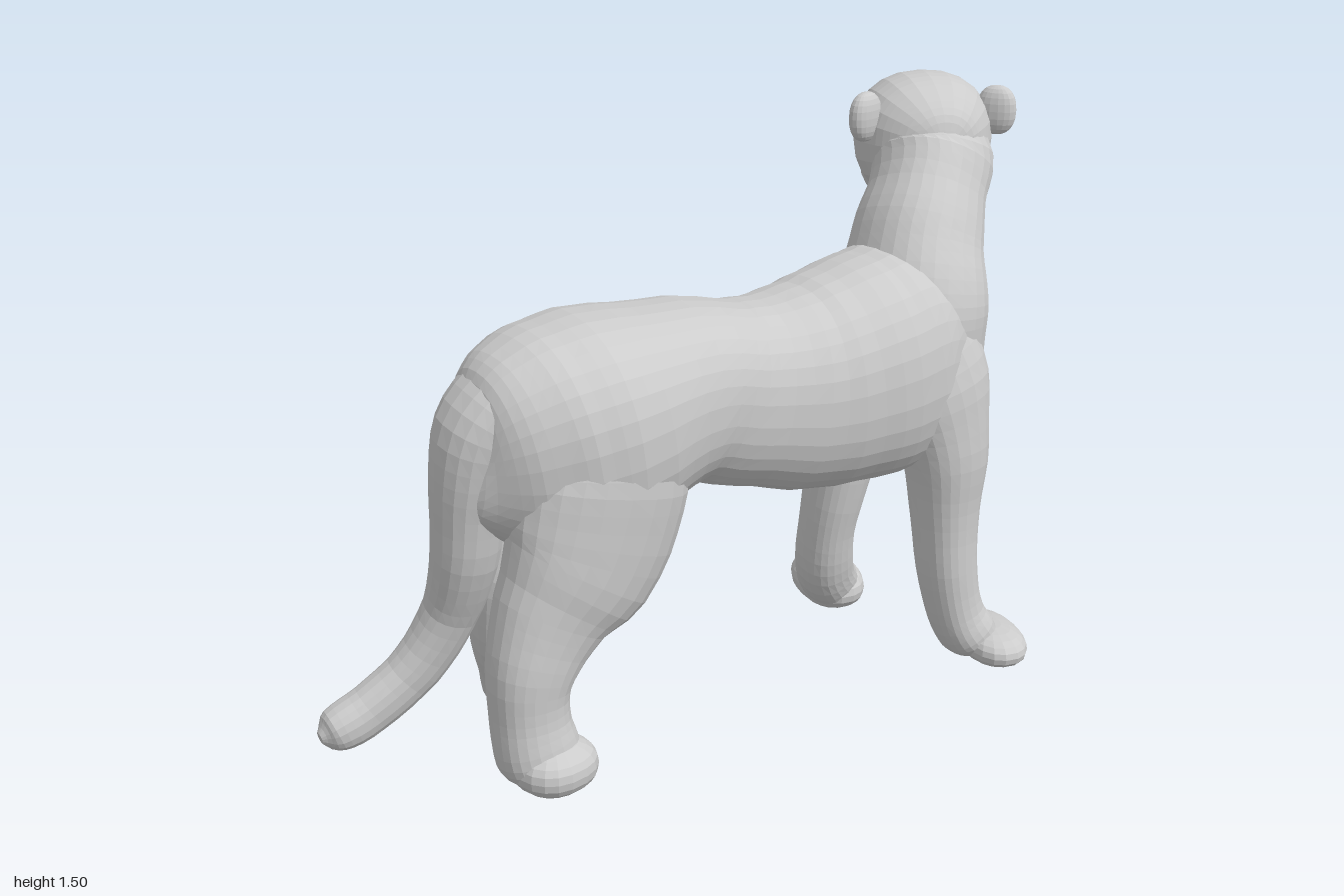
import * as THREE from 'three';

const material = new THREE.MeshStandardMaterial({ color: 0xcccccc, flatShading: true });

// Gentle hand-modelled unevenness, smooth in space
const ripple = (p) => 1 + 0.02 * Math.sin(17 * p.x + 9 * p.y) * Math.sin(15 * p.y - 13 * p.z + 1)
  + 0.014 * Math.sin(37 * p.z + 29 * p.x + 2) * Math.sin(33 * p.y + 21 * p.x);

// Makes round sections a little fuller at the corners
const swell = (v) => Math.sign(v) * Math.abs(v) ** 0.88;

// Skin over oval sections [x, y, z, radius across the bend, radius along side]
function loft(name, rows, side = new THREE.Vector3(0, 0, 1), sides = 24, steps = 4) {
  const path = new THREE.CatmullRomCurve3(rows.map((r) => new THREE.Vector3(r[0], r[1], r[2])), false, 'catmullrom');
  const radii = new THREE.CatmullRomCurve3(rows.map((r) => new THREE.Vector3(r[3], r[4], 0)), false, 'catmullrom');
  const count = (rows.length - 1) * steps;
  const pos = [], index = [];
  for (let i = 0; i <= count; i++) {
    const c = path.getPoint(i / count), r = radii.getPoint(i / count), t = path.getTangent(i / count);
    const s = side.clone().addScaledVector(t, -side.dot(t)).normalize();
    const n = s.clone().cross(t);
    for (let j = 0; j < sides; j++) {
      const a = (j / sides) * Math.PI * 2;
      const d = n.clone().multiplyScalar(swell(Math.cos(a)) * Math.max(r.x, 0.004))
        .addScaledVector(s, swell(Math.sin(a)) * Math.max(r.y, 0.004));
      const p = c.clone().add(d);
      p.copy(c).addScaledVector(d, ripple(p));
      pos.push(p.x, p.y, p.z);
    }
  }
  const first = pos.length / 3, last = first + 1, end = count * sides;
  pos.push(...rows[0].slice(0, 3), ...rows[rows.length - 1].slice(0, 3));
  for (let j = 0; j < sides; j++) {
    const k = (j + 1) % sides;
    for (let i = 0; i < count; i++) {
      const a = i * sides + j, b = i * sides + k, c = a + sides, d = b + sides;
      index.push(a, b, c, b, d, c);
    }
    index.push(first, k, j, last, end + j, end + k);
  }
  const g = new THREE.BufferGeometry();
  g.setAttribute('position', new THREE.Float32BufferAttribute(pos, 3));
  g.setIndex(index);
  g.computeVertexNormals();
  const mesh = new THREE.Mesh(g, material);
  mesh.name = name;
  return mesh;
}

// Slightly boxy rounded lump; flatBelow trims its underside to a flat sole
function lump(name, position, radii, turn = 0, flatBelow = -1) {
  const g = new THREE.SphereGeometry(1, 18, 12);
  const p = g.attributes.position;
  for (let i = 0; i < p.count; i++) {
    p.setXYZ(i, swell(p.getX(i)), Math.max(swell(p.getY(i)), flatBelow), swell(p.getZ(i)));
  }
  g.scale(...radii);
  g.computeVertexNormals();
  const mesh = new THREE.Mesh(g, material);
  mesh.name = name;
  mesh.position.set(...position);
  mesh.rotation.y = turn;
  return mesh;
}

function makeHead() {
  const head = new THREE.Group();
  head.name = 'head';
  head.position.set(0.78, 1.32, -0.13);
  head.rotation.y = 2.8; // looks back over its shoulder
  const across = new THREE.Vector3(1, 0, 0);
  head.add(loft('skull', [
    [0, 0.02, -0.165, 0.03, 0.03],
    [0, 0.02, -0.135, 0.1, 0.1],
    [0, 0.015, -0.07, 0.148, 0.155],
    [0, 0.01, 0.02, 0.168, 0.178],
    [0, 0.0, 0.09, 0.158, 0.165],
    [0, -0.015, 0.15, 0.132, 0.135],
    [0, -0.03, 0.195, 0.1, 0.1],
    [0, -0.04, 0.22, 0.05, 0.05],
  ], across));
  head.add(loft('muzzle', [
    [0, -0.06, 0.03, 0.11, 0.14],
    [0, -0.07, 0.1, 0.112, 0.14],
    [0, -0.08, 0.17, 0.105, 0.118],
    [0, -0.09, 0.23, 0.093, 0.095],
    [0, -0.1, 0.268, 0.07, 0.073],
    [0, -0.1, 0.288, 0.025, 0.03],
  ], across));
  head.add(lump('nose', [0, -0.03, 0.235], [0.042, 0.03, 0.035]));
  for (const s of [-1, 1]) {
    head.add(lump('ear', [s * 0.175, 0.085, -0.045], [0.052, 0.064, 0.03], s * 0.6));
    head.add(lump('brow', [s * 0.07, 0.06, 0.13], [0.052, 0.035, 0.04], s * 0.45));
  }
  return head;
}

export function createModel() {
  const cat = new THREE.Group();
  cat.name = 'standingBigCat';

  // Trunk: x, top, bottom, half width, centre z
  const trunk = [
    [-0.68, 0.88, 0.74, 0.04, 0.08],
    [-0.64, 0.97, 0.64, 0.12, 0.085],
    [-0.57, 1.05, 0.58, 0.19, 0.085],
    [-0.45, 1.105, 0.57, 0.245, 0.08],
    [-0.3, 1.12, 0.6, 0.255, 0.08],
    [-0.1, 1.1, 0.66, 0.212, 0.08],
    [0.05, 1.07, 0.615, 0.2, 0.075],
    [0.25, 1.075, 0.555, 0.225, 0.065],
    [0.46, 1.115, 0.54, 0.24, 0.06],
    [0.58, 1.12, 0.56, 0.225, 0.05],
    [0.67, 1.0, 0.64, 0.15, 0.04],
    [0.72, 0.88, 0.76, 0.04, 0.04],
  ];
  cat.add(loft('trunk', trunk.map(([x, top, low, w, z]) => [x, (top + low) / 2, z, (top - low) / 2, w]), undefined, 34));

  // Chest rises straight into the neck
  cat.add(loft('chestAndNeck', [
    [0.63, 0.55, 0.03, 0.04, 0.05],
    [0.63, 0.6, 0.035, 0.11, 0.13],
    [0.62, 0.7, 0.04, 0.155, 0.18],
    [0.62, 0.82, 0.04, 0.172, 0.205],
    [0.62, 0.93, 0.04, 0.175, 0.212],
    [0.635, 1.03, 0.03, 0.17, 0.198],
    [0.665, 1.12, 0.005, 0.158, 0.168],
    [0.715, 1.21, -0.03, 0.148, 0.148],
    [0.77, 1.3, -0.08, 0.155, 0.14],
    [0.78, 1.38, -0.12, 0.09, 0.09],
  ], undefined, 28));
  cat.add(makeHead());

  // Forelegs, shoulder to wrist
  cat.add(loft('leftForeleg', [
    [0.5, 1.04, 0.1, 0.04, 0.04],
    [0.55, 0.93, 0.14, 0.14, 0.1],
    [0.6, 0.78, 0.175, 0.145, 0.118],
    [0.63, 0.62, 0.195, 0.11, 0.11],
    [0.635, 0.45, 0.2, 0.085, 0.096],
    [0.64, 0.28, 0.215, 0.072, 0.083],
    [0.665, 0.15, 0.23, 0.07, 0.078],
    [0.705, 0.075, 0.245, 0.07, 0.08],
    [0.73, 0.03, 0.255, 0.03, 0.035],
  ]));
  cat.add(loft('rightForeleg', [
    [0.5, 1.04, 0.0, 0.04, 0.04],
    [0.54, 0.93, -0.04, 0.14, 0.1],
    [0.58, 0.78, -0.085, 0.145, 0.12],
    [0.57, 0.62, -0.115, 0.11, 0.103],
    [0.535, 0.45, -0.13, 0.08, 0.091],
    [0.515, 0.28, -0.15, 0.071, 0.083],
    [0.53, 0.15, -0.175, 0.074, 0.078],
    [0.575, 0.075, -0.21, 0.072, 0.078],
    [0.595, 0.03, -0.22, 0.03, 0.035],
  ]));

  // Hind legs, haunch to ankle
  cat.add(loft('leftHindLeg', [
    [-0.34, 1.02, 0.13, 0.05, 0.05],
    [-0.35, 0.9, 0.168, 0.17, 0.145],
    [-0.375, 0.74, 0.185, 0.218, 0.15],
    [-0.425, 0.58, 0.195, 0.208, 0.135],
    [-0.52, 0.44, 0.195, 0.148, 0.113],
    [-0.58, 0.31, 0.205, 0.104, 0.096],
    [-0.585, 0.19, 0.21, 0.097, 0.093],
    [-0.57, 0.09, 0.225, 0.098, 0.09],
    [-0.56, 0.04, 0.235, 0.05, 0.05],
  ]));
  cat.add(loft('rightHindLeg', [
    [-0.34, 1.02, 0.02, 0.05, 0.05],
    [-0.35, 0.9, -0.015, 0.17, 0.14],
    [-0.37, 0.74, -0.035, 0.21, 0.145],
    [-0.41, 0.58, -0.04, 0.198, 0.128],
    [-0.48, 0.44, -0.025, 0.138, 0.116],
    [-0.51, 0.31, -0.035, 0.098, 0.091],
    [-0.49, 0.19, -0.07, 0.083, 0.075],
    [-0.46, 0.09, -0.115, 0.076, 0.075],
    [-0.45, 0.05, -0.125, 0.04, 0.04],
  ]));

  // Paws
  cat.add(lump('leftForepaw', [0.755, 0.06, 0.265], [0.083, 0.05, 0.135], -0.2, -0.93));
  cat.add(lump('rightForepaw', [0.595, 0.062, -0.25], [0.088, 0.064, 0.132], -0.15, -0.95));
  cat.add(lump('leftHindPaw', [-0.55, 0.085, 0.255], [0.105, 0.065, 0.1], 0.2, -0.88));
  cat.add(lump('rightHindPaw', [-0.425, 0.085, -0.17], [0.075, 0.065, 0.128], -0.15, -0.88));

  // Thick tail root hangs down the rump, then the tail sweeps outward
  cat.add(loft('tail', [
    [-0.44, 1.02, 0.08, 0.05, 0.06],
    [-0.55, 0.965, 0.08, 0.09, 0.13],
    [-0.625, 0.88, 0.075, 0.097, 0.12],
    [-0.65, 0.74, 0.065, 0.09, 0.1],
    [-0.66, 0.57, 0.045, 0.077, 0.085],
    [-0.68, 0.41, -0.005, 0.067, 0.07],
    [-0.755, 0.27, -0.04, 0.064, 0.06],
    [-0.87, 0.175, -0.065, 0.06, 0.055],
    [-0.96, 0.135, -0.075, 0.052, 0.05],
    [-0.998, 0.125, -0.075, 0.015, 0.015],
  ], undefined, 18));
  return cat;
}
